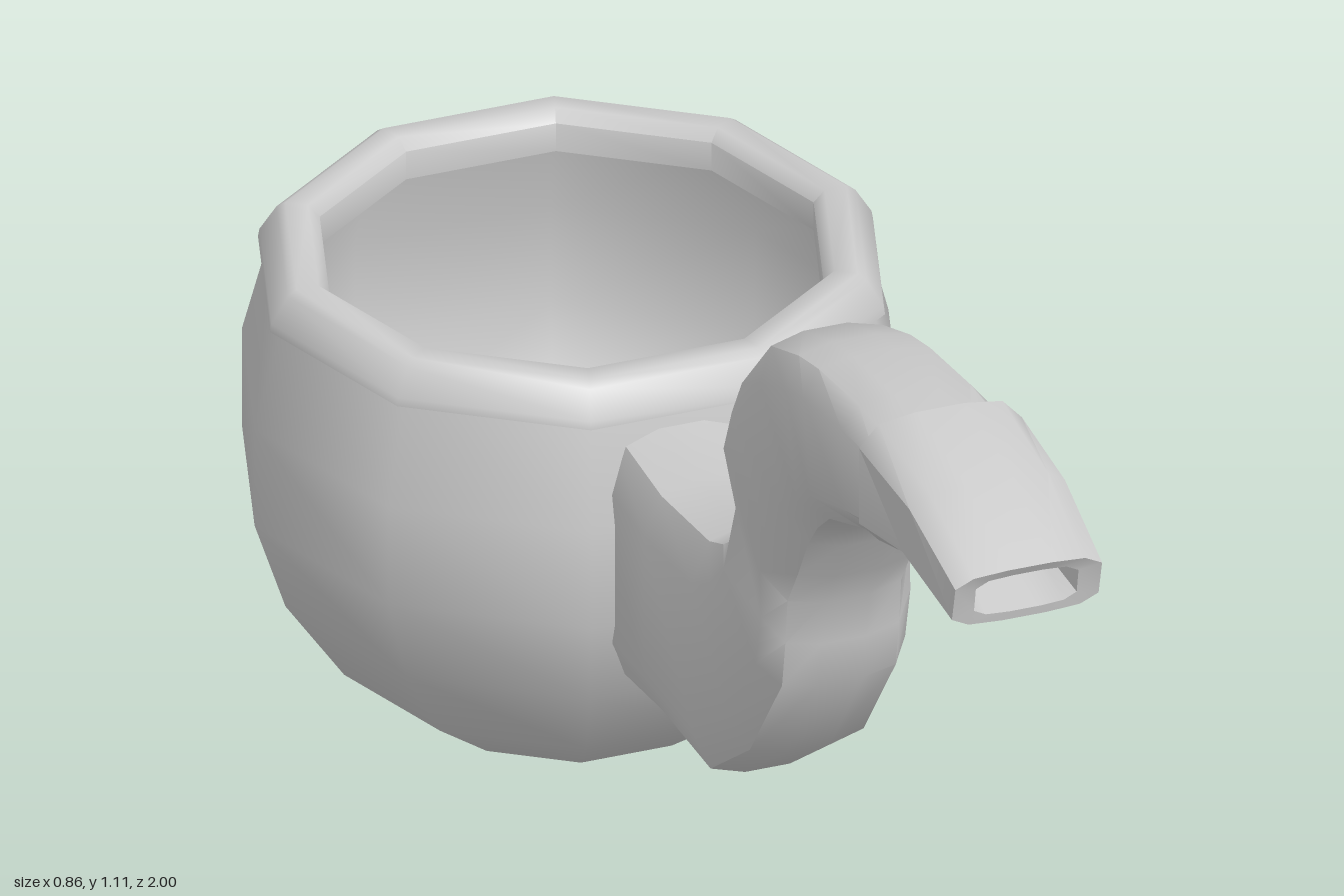
import * as THREE from 'three';
import { toCreasedNormals } from 'three/addons/utils/BufferGeometryUtils.js';

const material = new THREE.MeshStandardMaterial({ color: 0xcccccc, side: THREE.DoubleSide });

// Half of the bevelled cross-section: x as a share of half width, t as a share of half height
const quarter = [[1, 0.6], [0.76, 0.92], [0.3, 1]];
const section = [
  ...quarter,
  ...quarter.map(([x, t]) => [-x, t]).reverse(),
  ...quarter.map(([x, t]) => [-x, -t]),
  ...quarter.map(([x, t]) => [x, -t]).reverse(),
];

// Skin through stations [topZ, topY, bottomZ, bottomY, halfWidth, scale]
function loft(name, stations, crease) {
  const positions = [], index = [], n = section.length;
  for (const [tz, ty, bz, by, w, s = 1] of stations) {
    for (const [x, t] of section) {
      const k = (1 + t * s) / 2;
      positions.push(x * w * s, by + (ty - by) * k, bz + (tz - bz) * k);
    }
  }
  for (let i = 0; i < stations.length - 1; i++) {
    for (let j = 0; j < n; j++) {
      const a = i * n + j, b = i * n + (j + 1) % n;
      index.push(a, a + n, b, b, a + n, b + n);
    }
  }
  const geometry = new THREE.BufferGeometry();
  geometry.setAttribute('position', new THREE.Float32BufferAttribute(positions, 3));
  geometry.setIndex(index);
  const mesh = new THREE.Mesh(toCreasedNormals(geometry, crease), material);
  mesh.name = name;
  return mesh;
}

// Ten-sided turned part, with a corner on +x and -x
function turned(name, profile, crease) {
  const points = profile.map(([r, y]) => new THREE.Vector2(r, y));
  const geometry = new THREE.LatheGeometry(points, 10, Math.PI / 2);
  const mesh = new THREE.Mesh(crease ? toCreasedNormals(geometry, crease) : geometry, material);
  mesh.name = name;
  mesh.position.z = -0.59;
  return mesh;
}

export function createModel() {
  const group = new THREE.Group();
  group.name = 'pipe';

  // Round thin-walled bowl
  group.add(turned('bowl', [
    [0, 0], [0.07, 0.007], [0.2, 0.05], [0.31, 0.13], [0.39, 0.245],
    [0.432, 0.37], [0.432, 0.51], [0.395, 0.65],
  ]));

  // Bevelled rim
  group.add(turned('rim', [
    [0.33, 0.645], [0.4, 0.642], [0.411, 0.646], [0.409, 0.657], [0.387, 0.692],
    [0.375, 0.7], [0.345, 0.7], [0.33, 0.685], [0.33, 0.645],
  ], 0.85));

  // Curved stem, from the mouthpiece joint down into the bowl
  group.add(loft('stem', [
    [0.72, 1.09, 0.72, 0.938, 0.098],
    [0.6, 1.087, 0.61, 0.9, 0.1],
    [0.46, 1.07, 0.5, 0.855, 0.1],
    [0.39, 1.055, 0.46, 0.82, 0.1],
    [0.29, 1.02, 0.43, 0.78, 0.1],
    [0.19, 0.915, 0.4, 0.72, 0.102],
    [0.155, 0.855, 0.365, 0.665, 0.102],
    [0.21, 0.79, 0.355, 0.6, 0.102],
    [0.16, 0.67, 0.345, 0.535, 0.102],
    [0.13, 0.652, 0.23, 0.38, 0.102],
    [0.085, 0.635, 0.09, 0.28, 0.102],
    [-0.08, 0.615, -0.08, 0.28, 0.102],
    [-0.25, 0.628, -0.25, 0.26, 0.102],
  ], 0.75));

  // Mouthpiece with a recessed slot and a small step at the joint
  group.add(loft('mouthpiece', [
    [0.86, 1.085, 0.84, 0.962, 0.1, 0],
    [0.86, 1.085, 0.84, 0.962, 0.1, 0.55],
    [0.995, 1.035, 0.98, 0.953, 0.1, 0.7],
    [1.0, 1.035, 0.98, 0.953, 0.1],
    [0.86, 1.088, 0.82, 0.965, 0.106],
    [0.69, 1.107, 0.69, 0.925, 0.111],
    [0.69, 1.107, 0.69, 0.925, 0.111, 0.88],
  ], 0.75));

  return group;
}
